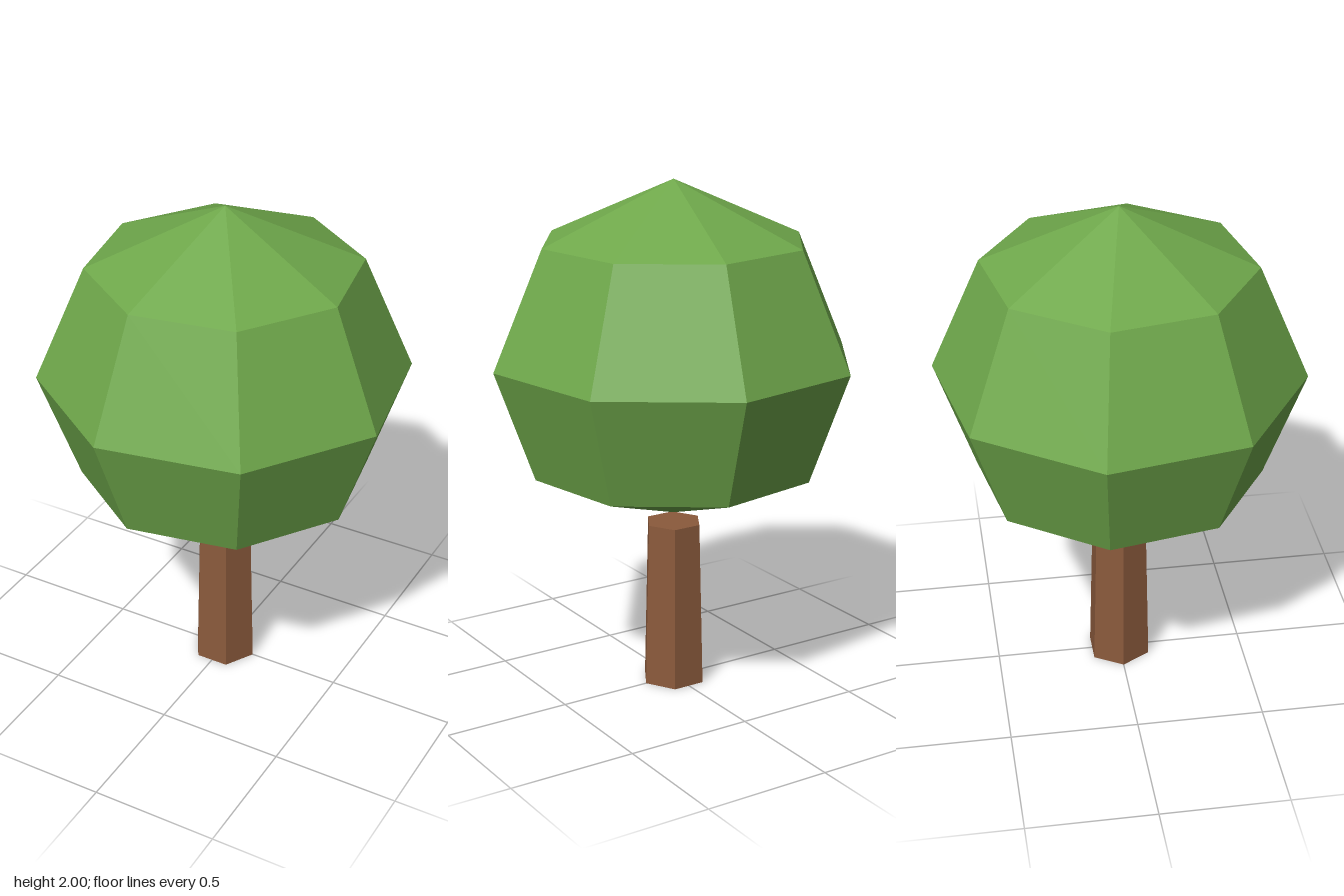
import * as THREE from 'three';

export function createModel() {
  const model = new THREE.Group();
  model.name = 'tree';

  const leafGreen = new THREE.MeshStandardMaterial({ color: 0x6fa84b, flatShading: true });
  leafGreen.name = 'leaf green';
  const barkBrown = new THREE.MeshStandardMaterial({ color: 0x8b5a3c, flatShading: true });
  barkBrown.name = 'bark brown';

  // Tapered six-sided trunk, with corners on the x axis
  const trunkHeight = 0.66;
  const trunkGeometry = new THREE.CylinderGeometry(0.113, 0.13, trunkHeight, 6);
  trunkGeometry.rotateY(Math.PI / 6);
  trunkGeometry.translate(0, trunkHeight / 2, 0);
  const trunk = new THREE.Mesh(trunkGeometry, barkBrown);
  trunk.name = 'trunk';

  // Faceted eight-sided canopy, profile from bottom tip to top tip, slightly turned
  const profile = [
    [0, 0.695],
    [0.557, 0.89],
    [0.71, 1.32],
    [0.515, 1.77],
    [0, 2],
  ].map(([r, y]) => new THREE.Vector2(r, y));
  const turn = THREE.MathUtils.degToRad(-11.8);
  const canopy = new THREE.Mesh(new THREE.LatheGeometry(profile, 8, turn), leafGreen);
  canopy.name = 'canopy';

  model.add(trunk, canopy);
  return model;
}
